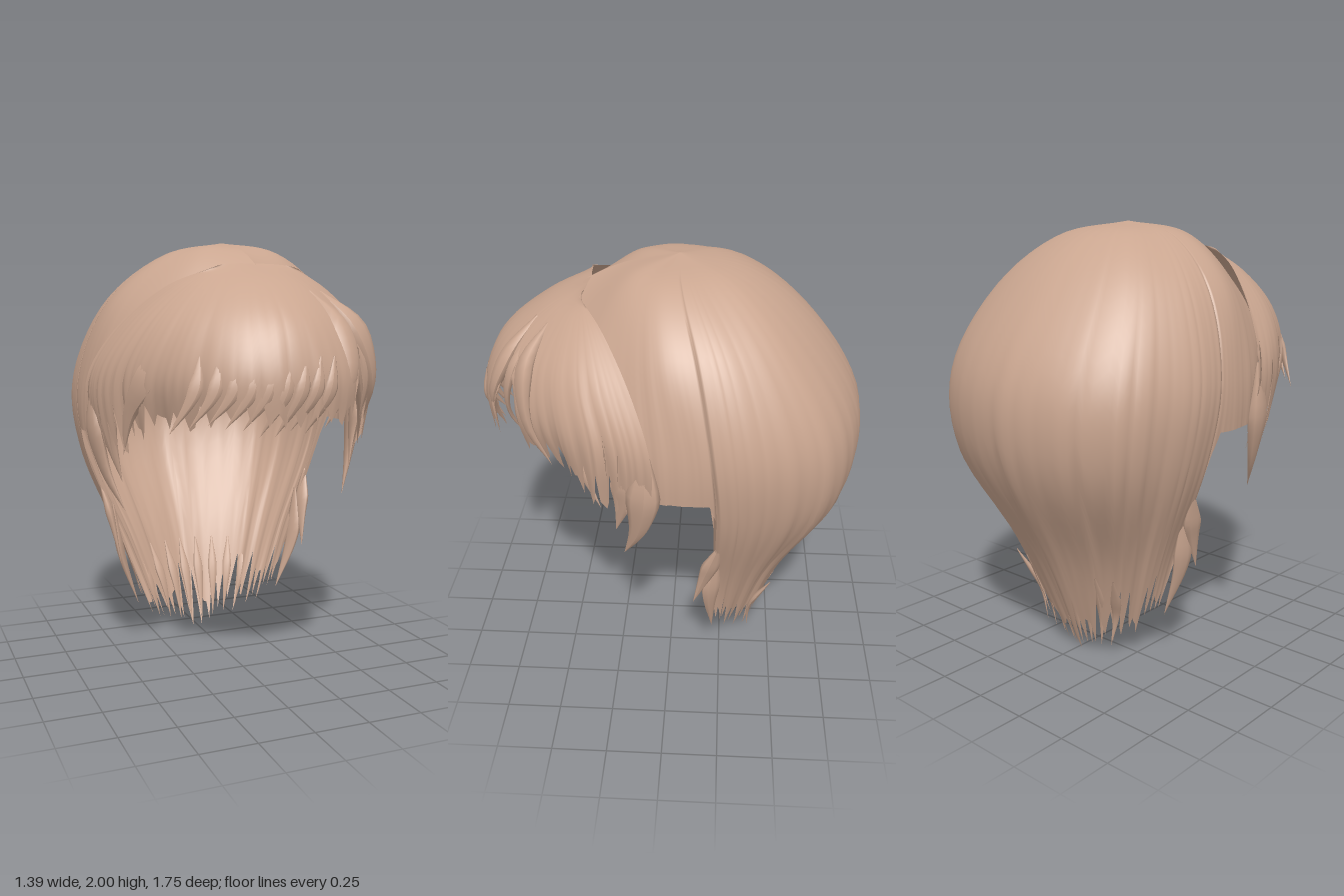
import * as THREE from 'three';

const V = (p) => new THREE.Vector3(p[0], p[1], p[2]);
const hair = new THREE.MeshStandardMaterial({ color: 0xcaa690, side: THREE.DoubleSide });
hair.name = 'hair';

// repeatable noise in 0..1
const noise = (n) => { const s = Math.sin(n * 127.1 + 3.7) * 43758.5453; return s - Math.floor(s); };

// keys run from the middle to one side; returns them mirrored across x
const mirrored = (keys) => [
  ...keys.slice(1).reverse().map((k) => k.map(([x, y, z]) => [-x, y, z])),
  ...keys,
];

// smooth sheet through key strands; cut(i, u) is how far each strand reaches
function sheet(keys, perKey, rows, cut, ripple = 0) {
  const strands = keys.map((k) => new THREE.CatmullRomCurve3(k.map(V)));
  const cols = (keys.length - 1) * perKey;
  const pos = [], idx = [];
  for (let j = 0; j <= rows; j++) {
    for (let i = 0; i <= cols; i++) {
      const t = (j / rows) * cut(i, i / perKey);
      const across = new THREE.CatmullRomCurve3(strands.map((s) => s.getPoint(t)));
      const p = across.getPoint(i / cols);
      const r = 1 + ripple * t ** 3 * (noise(Math.floor(i / 4)) - 0.5);
      pos.push(p.x * r, p.y, p.z * r);
      if (i < cols && j < rows) {
        const a = j * (cols + 1) + i, b = a + cols + 1;
        idx.push(a, b, a + 1, b, b + 1, a + 1);
      }
    }
  }
  const g = new THREE.BufferGeometry();
  g.setAttribute('position', new THREE.Float32BufferAttribute(pos, 3));
  g.setIndex(idx);
  g.computeVertexNormals();
  return g;
}

// flattened lock of hair tapering to a point
function lock(points, width, flat = 0.6) {
  const curve = new THREE.CatmullRomCurve3(points.map(V));
  const n = 14, sides = 8;
  const g = new THREE.TubeGeometry(curve, n, width, sides);
  const pos = g.attributes.position;
  for (let i = 0; i < pos.count; i++) {
    const t = Math.floor(i / (sides + 1)) / n;
    const c = curve.getPointAt(t);
    const d = new THREE.Vector3().fromBufferAttribute(pos, i).sub(c);
    const out = new THREE.Vector3(c.x, 0, c.z).normalize();
    d.addScaledVector(out, -flat * d.dot(out));
    d.multiplyScalar(Math.min(1, 0.15 + t * 2.5) * Math.min(1, (1 - t) * 1.7));
    c.add(d);
    pos.setXYZ(i, c.x, c.y, c.z);
  }
  g.computeVertexNormals();
  return g;
}

export function createModel() {
  const group = new THREE.Group();
  group.name = 'hair';
  const add = (name, g) => {
    const m = new THREE.Mesh(g, hair);
    m.name = name;
    group.add(m);
  };

  // strands from the nape round to the forehead
  const top = [0, 2, -0.03];
  const capKeys = mirrored([
    [top, [0, 1.94, -0.34], [0, 1.72, -0.63], [0, 1.35, -0.86], [0, 1, -0.85], [0, 0.5, -0.59], [0, 0, -0.385]],
    [top, [0.2, 1.94, -0.27], [0.38, 1.72, -0.5], [0.48, 1.35, -0.7], [0.46, 1, -0.7], [0.3, 0.52, -0.49], [0.17, 0.04, -0.36]],
    [top, [0.26, 1.94, -0.13], [0.51, 1.72, -0.28], [0.65, 1.35, -0.38], [0.61, 1, -0.4], [0.42, 0.52, -0.34], [0.28, 0.13, -0.28]],
    [top, [0.28, 1.94, -0.05], [0.54, 1.72, -0.13], [0.67, 1.35, -0.2], [0.63, 1, -0.23], [0.45, 0.55, -0.21], [0.36, 0.22, -0.22]],
    [top, [0.28, 1.94, 0.03], [0.54, 1.72, 0], [0.665, 1.35, -0.08], [0.645, 1, -0.08], [0.5, 0.6, -0.08], [0.4, 0.3, -0.08]],
    [top, [0.25, 1.94, 0.1], [0.49, 1.72, 0.12], [0.63, 1.38, 0.09], [0.62, 1, 0.06], [0.5, 0.6, 0.06], [0.4, 0.3, 0.06]],
    [top, [0.17, 1.95, 0.17], [0.32, 1.78, 0.28], [0.48, 1.55, 0.3], [0.53, 1.2, 0.24], [0.5, 0.9, 0.2], [0.4, 0.6, 0.2]],
    [top, [0, 1.95, 0.22], [0, 1.86, 0.41], [0, 1.76, 0.55], [0, 1.62, 0.62], [0, 1.4, 0.65], [0, 1.2, 0.65]],
  ]);
  add('cap', sheet(capKeys, 16, 30, (i, u) => {
    const a = Math.abs(u - 7);
    if (a > 3) return 0.605 + 0.06 * Math.max(0, 1 - (a - 3) * 4);
    const tooth = Math.abs((i + 2) % 4 - 2) / 2;
    const tip = 1 - 0.04 * noise(Math.floor((i + 2) / 4)) * Math.min(1, a);
    return tip - (1 - tooth) * (0.03 + 0.08 * noise(i));
  }, 0.05));

  // swept fringe, with a parting on one side
  const fringeKeys = mirrored([
    [[0, 1.885, 0.36], [0, 1.79, 0.58], [0, 1.63, 0.78], [0, 1.43, 0.865], [0, 1.2, 0.85]],
    [[0.07, 1.885, 0.365], [0.15, 1.78, 0.56], [0.23, 1.62, 0.71], [0.27, 1.42, 0.78], [0.26, 1.2, 0.75]],
    [[0.14, 1.88, 0.37], [0.3, 1.77, 0.46], [0.44, 1.6, 0.52], [0.52, 1.4, 0.5], [0.49, 1.16, 0.44]],
    [[0.17, 1.875, 0.38], [0.36, 1.775, 0.36], [0.54, 1.6, 0.33], [0.64, 1.38, 0.27], [0.59, 1.03, 0.26]],
    [[0.2, 1.865, 0.385], [0.38, 1.785, 0.27], [0.59, 1.58, 0.13], [0.695, 1.34, 0.05], [0.61, 0.95, 0.08]],
  ]);
  add('fringe', sheet(fringeKeys, 16, 20, (i, u) => {
    const tooth = Math.abs(i % 4 - 2) / 2;
    const parting = 0.4 * Math.max(0, 1 - Math.abs(u - 5.25) * 4);
    return 1 - (1 - tooth) * (0.04 + 0.14 * noise(i + 9)) - parting
      - 0.05 * noise(Math.floor((i + 2) / 4) + 40);
  }, 0.05));

  // locks either side of the parting
  add('partingLock', lock([[0.16, 1.76, 0.58], [0.24, 1.6, 0.71], [0.25, 1.42, 0.79], [0.14, 1.2, 0.77]], 0.06));
  add('partingLock', lock([[0.2, 1.74, 0.57], [0.29, 1.55, 0.69], [0.28, 1.38, 0.72], [0.2, 1.2, 0.68]], 0.045));
  add('partingLock', lock([[0.24, 1.76, 0.52], [0.37, 1.6, 0.61], [0.46, 1.4, 0.6], [0.48, 1.2, 0.5]], 0.07));
  add('innerLock', lock([[0.3, 1.7, 0.5], [0.42, 1.5, 0.5], [0.53, 1.25, 0.38], [0.58, 1.05, 0.28]], 0.07));
  add('innerLock', lock([[-0.4, 1.6, 0.5], [-0.52, 1.4, 0.45], [-0.57, 1.25, 0.35], [-0.58, 1.06, 0.28]], 0.07));

  // wispy locks along the fringe hem, swept to one side
  for (let k = 0; k < 9; k++) {
    const x = -0.42 + k * 0.065;
    const z = 0.88 * Math.sqrt(1 - (x / 0.72) ** 2);
    const y = 1.18 + 0.06 * noise(k);
    add('fringeLock', lock([[x + 0.05, 1.5, z - 0.04], [x + 0.02, 1.36, z - 0.02], [x - 0.07, y, z - 0.07]], 0.032));
  }

  for (const s of [-1, 1]) {
    // sideburns in front of the ears
    add('sideburn', lock([[s * 0.66, 1.4, 0.08], [s * 0.66, 1.18, 0.09], [s * 0.62, 0.97, 0.12], [s * 0.55, 0.79, 0.19]], 0.075));
    add('sideburn', lock([[s * 0.64, 1.35, 0.18], [s * 0.61, 1.12, 0.18], [s * 0.57, 0.93, 0.22]], 0.06));
    // loose tufts behind the ears
    add('earTuft', lock([[s * 0.56, 0.85, -0.24], [s * 0.52, 0.68, -0.19], [s * 0.49, 0.46, -0.12]], 0.045));
    add('earTuft', lock([[s * 0.5, 0.75, -0.23], [s * 0.47, 0.5, -0.2], [s * 0.38, 0.22, -0.21]], 0.045));
    // fine strands at the nape
    for (let k = 0; k < 4; k++) {
      const x = s * (0.03 + k * 0.06);
      add('napeStrand', lock([[x * 1.5, 0.45, -0.55 + k * 0.02], [x * 1.2, 0.25, -0.46 + k * 0.02], [x, 0.03 + k * 0.015, -0.39]], 0.025));
    }
  }
  return group;
}
